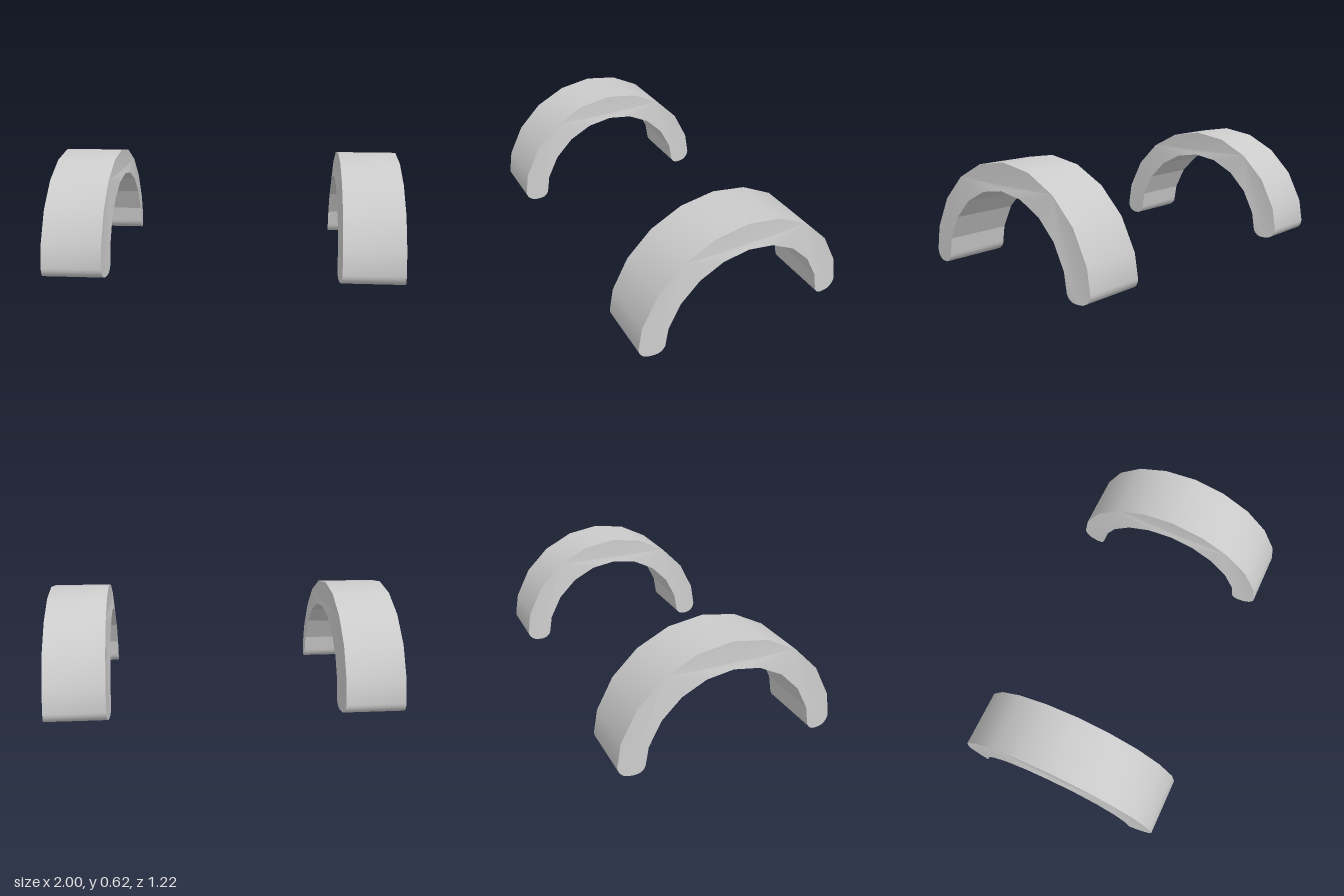
import * as THREE from 'three';
import { toCreasedNormals } from 'three/addons/utils/BufferGeometryUtils.js';

const OUTER = 0.62, INNER = 0.475;          // arch radii
const HALF_OUTER = 0.167, HALF_INNER = 0.184; // half widths at those radii
const CENTER_X = 0.816, TIP = 0.06;         // arch position, rounding of the feet

// Arch outline: ten-step outer arc, rounded foot, inner arc, rounded foot
function archShape() {
  const pts = [];
  const arc = (cx, cy, r, from, to, steps) => {
    for (let i = 0; i <= steps; i++) {
      const a = THREE.MathUtils.degToRad(from + (to - from) * i / steps);
      pts.push(new THREE.Vector2(cx + r * Math.cos(a), cy + r * Math.sin(a)));
    }
  };
  const outerFoot = 0.611 - TIP, innerFoot = 0.466 + TIP;
  arc(innerFoot, TIP, TIP, 180, 270, 5);
  arc(outerFoot, TIP, TIP, 270, 360, 5);
  arc(0, 0, OUTER, 18, 162, 8);
  arc(-outerFoot, TIP, TIP, 180, 270, 5);
  arc(-innerFoot, TIP, TIP, 270, 360, 5);
  arc(0, 0, INNER, 162, 18, 8);
  return new THREE.Shape(pts);
}

function archGeometry() {
  let geo = new THREE.ExtrudeGeometry(archShape(), { depth: 2, bevelEnabled: false });
  geo.translate(0, 0, -1);
  geo.rotateY(Math.PI / 2);

  // Side walls lean inwards from the inner to the outer radius
  const p = geo.attributes.position;
  for (let i = 0; i < p.count; i++) {
    const r = Math.hypot(p.getY(i), p.getZ(i));
    const t = THREE.MathUtils.clamp((r - INNER) / (OUTER - INNER), 0, 1);
    p.setX(i, Math.sign(p.getX(i)) * THREE.MathUtils.lerp(HALF_INNER, HALF_OUTER, t));
  }
  geo = toCreasedNormals(geo, THREE.MathUtils.degToRad(30));

  // The underside stays faceted while the top is smooth
  const q = geo.attributes.position, n = geo.attributes.normal;
  const tri = new THREE.Triangle(), normal = new THREE.Vector3();
  for (let i = 0; i < q.count; i += 3) {
    tri.setFromAttributeAndIndices(q, i, i + 1, i + 2);
    const under = [tri.a, tri.b, tri.c].every(v => v.y > TIP - 0.01 && Math.hypot(v.y, v.z) < INNER + 0.005);
    if (!under) continue;
    tri.getNormal(normal);
    for (let k = 0; k < 3; k++) n.setXYZ(i + k, normal.x, normal.y, normal.z);
  }
  return geo;
}

export function createModel() {
  const group = new THREE.Group();
  group.name = 'archPair';
  const geometry = archGeometry();
  const material = new THREE.MeshStandardMaterial({ color: 0xcccccc });
  for (const side of [1, -1]) {
    const arch = new THREE.Mesh(geometry, material);
    arch.name = side > 0 ? 'leftArch' : 'rightArch';
    arch.position.x = side * CENTER_X;
    group.add(arch);
  }
  return group;
}
